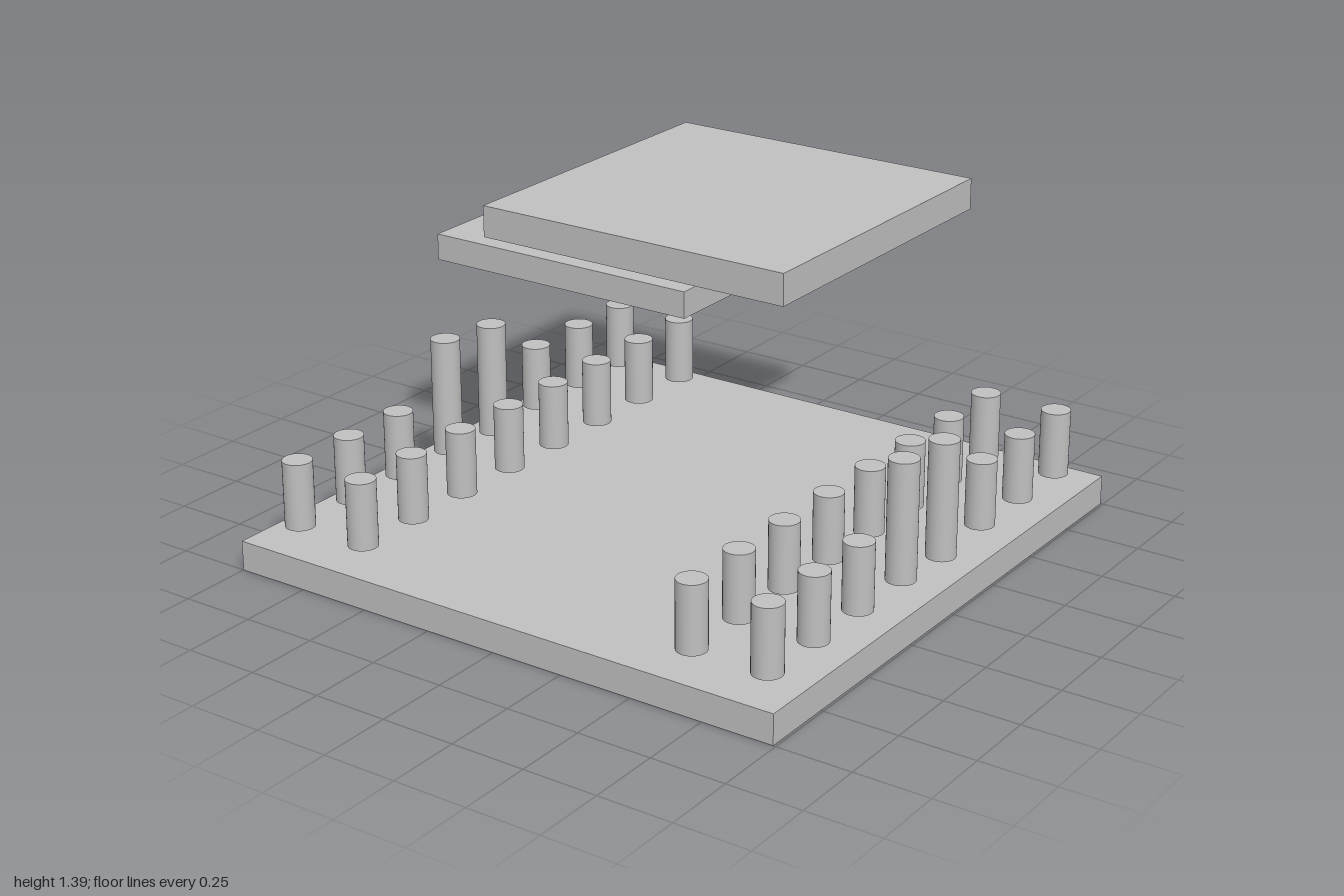
import * as THREE from 'three';

export function createModel() {
  const model = new THREE.Group();
  model.name = 'peggedSlabs';
  const grey = new THREE.MeshStandardMaterial({ color: 0xc0c0c0 });
  grey.name = 'grey';

  // Square-edged slab given by its extents
  function slab(name, [x0, x1], [y0, y1], [z0, z1]) {
    const mesh = new THREE.Mesh(new THREE.BoxGeometry(x1 - x0, y1 - y0, z1 - z0), grey);
    mesh.name = name;
    mesh.position.set((x0 + x1) / 2, (y0 + y1) / 2, (z0 + z1) / 2);
    model.add(mesh);
  }
  slab('base', [-1, 0.992], [0, 0.1], [-0.998, 1]);
  slab('lowerPlate', [-1, -0.003], [0.75, 0.84], [-0.998, -0.003]);
  slab('upperPlate', [0, 1], [1.3, 1.393], [-0.008, 0.99]);

  // Upright round peg
  function peg(name, x, z, y0, y1) {
    const mesh = new THREE.Mesh(new THREE.CylinderGeometry(0.049, 0.049, y1 - y0, 32), grey);
    mesh.name = name;
    mesh.position.set(x, (y0 + y1) / 2, z);
    model.add(mesh);
  }

  // Two columns of eight pegs on each side; the outer ones have two tall pegs mid-way
  const rows = [-0.87, -0.623, -0.375, -0.13, 0.113, 0.363, 0.608, 0.852];
  const columns = [
    { x: -0.885, outer: true }, { x: -0.625, outer: false },
    { x: 0.615, outer: false }, { x: 0.875, outer: true },
  ];
  for (const { x, outer } of columns) {
    rows.forEach((z, i) => {
      if (outer && i === 3) peg('tallPeg', x, z, 0.115, 0.507);
      else if (outer && i === 4) peg('tallPeg', x, z, 0.13, 0.53);
      else peg('peg', x, z, 0.13, 0.355);
    });
  }
  return model;
}
